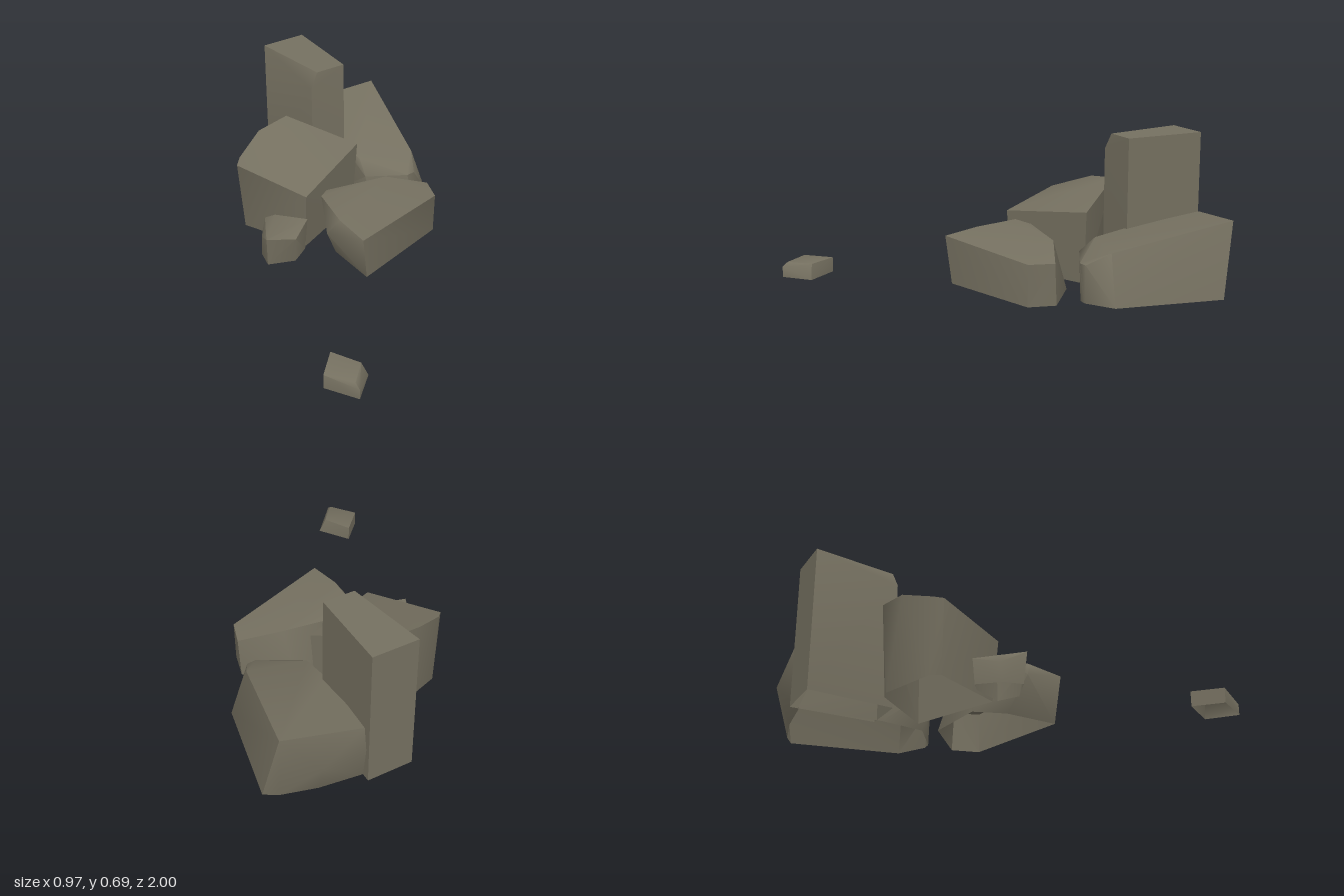
import * as THREE from 'three';
import { ConvexGeometry } from 'three/addons/geometries/ConvexGeometry.js';
import { toCreasedNormals } from 'three/addons/utils/BufferGeometryUtils.js';

const stone = new THREE.MeshStandardMaterial({ color: 0x757060, side: THREE.DoubleSide });
stone.name = 'stone';

// A rock is the hull of its corner points, left open underneath and softened across shallow edges
function rock(name, points) {
  const hull = new ConvexGeometry(points.map((p) => new THREE.Vector3(...p)));
  const base = Math.min(...points.map((p) => p[1]));
  const pos = hull.attributes.position;
  const kept = [];
  for (let i = 0; i < pos.count; i += 3) {
    const onGround = [0, 1, 2].every((k) => pos.getY(i + k) < base + 0.001);
    if (!onGround) kept.push(...pos.array.slice(i * 3, i * 3 + 9));
  }
  const shell = new THREE.BufferGeometry();
  shell.setAttribute('position', new THREE.Float32BufferAttribute(kept, 3));
  const mesh = new THREE.Mesh(toCreasedNormals(shell, 1.0), stone);
  mesh.name = name;
  return mesh;
}

// Corners [x, z] placed at one height
const ring = (y, corners) => corners.map(([x, z]) => [x, y, z]);

export function createModel() {
  const group = new THREE.Group();
  group.name = 'rockCluster';

  // Upright slab with one clipped top corner
  group.add(rock('tallSlab', [
    ...ring(0.006, [[-0.2, -0.88], [0.01, -0.94], [0.11, -0.56], [-0.07, -0.5]]),
    ...ring(0.685, [[-0.2, -0.88], [0.01, -0.94], [0.11, -0.56], [-0.035, -0.52]]),
    [-0.07, 0.61, -0.5],
  ]));

  // Long boulder rising towards the back, leaning on the slab
  group.add(rock('longBoulder', [
    ...ring(0.006, [[0.485, -0.4], [0.385, -0.29], [0.345, -0.28], [0.17, -0.335],
      [0.09, -0.53], [0.02, -0.9], [0.22, -0.93], [0.39, -0.93], [0.455, -0.91]]),
    ...ring(0.18, [[0.145, -0.325], [0.345, -0.275], [0.385, -0.29], [0.22, -1.0], [0.02, -0.935]]),
    [0.41, 0.235, -0.4], [0.14, 0.24, -0.4], [0.09, 0.26, -0.55],
    [0.39, 0.35, -0.965], [0.03, 0.31, -0.935],
  ]));

  // Flat-topped boulder tilted towards the front
  group.add(rock('slopedBoulder', [
    ...ring(0.006, [[-0.46, -0.35], [-0.45, -0.4], [-0.23, -0.55], [-0.18, -0.55],
      [0.09, -0.365], [-0.23, -0.09]]),
    [-0.485, 0.35, -0.35], [-0.46, 0.365, -0.395], [-0.335, 0.425, -0.51],
    [-0.18, 0.445, -0.575], [0.115, 0.35, -0.365], [-0.23, 0.295, -0.065],
  ]));

  // Low wedge in front
  group.add(rock('frontBoulder', [
    ...ring(0.006, [[-0.11, 0], [-0.035, 0.235], [0.39, -0.03], [0.39, -0.16],
      [0.155, -0.265], [-0.1, -0.155]]),
    [-0.175, 0.175, 0.08], [-0.06, 0.23, 0.26], [0.395, 0.2, -0.03], [0.4, 0.2, -0.15],
    [0.2, 0.25, -0.19], [-0.15, 0.27, -0.09], [-0.12, 0.25, 0.1], [-0.105, 0.255, -0.155],
  ]));

  // Small stone beside the cluster
  group.add(rock('smallStone', [
    ...ring(0.006, [[-0.445, -0.09], [-0.395, -0.2], [-0.34, -0.18], [-0.24, -0.07],
      [-0.31, 0.01], [-0.44, 0]]),
    [-0.445, 0.155, 0.015], [-0.31, 0.14, 0.03], [-0.225, 0.17, -0.07],
    [-0.35, 0.145, -0.19], [-0.395, 0.125, -0.21], [-0.44, 0.1, -0.1],
  ]));

  // Stray pebble
  group.add(rock('pebble', [
    ...ring(0, [[-0.44, 0.89], [-0.37, 0.76], [-0.24, 0.87], [-0.32, 1]]),
    [-0.32, 0.05, 1],
    ...ring(0.07, [[-0.44, 0.89], [-0.37, 0.76], [-0.27, 0.865], [-0.33, 0.975]]),
  ]));

  return group;
}
